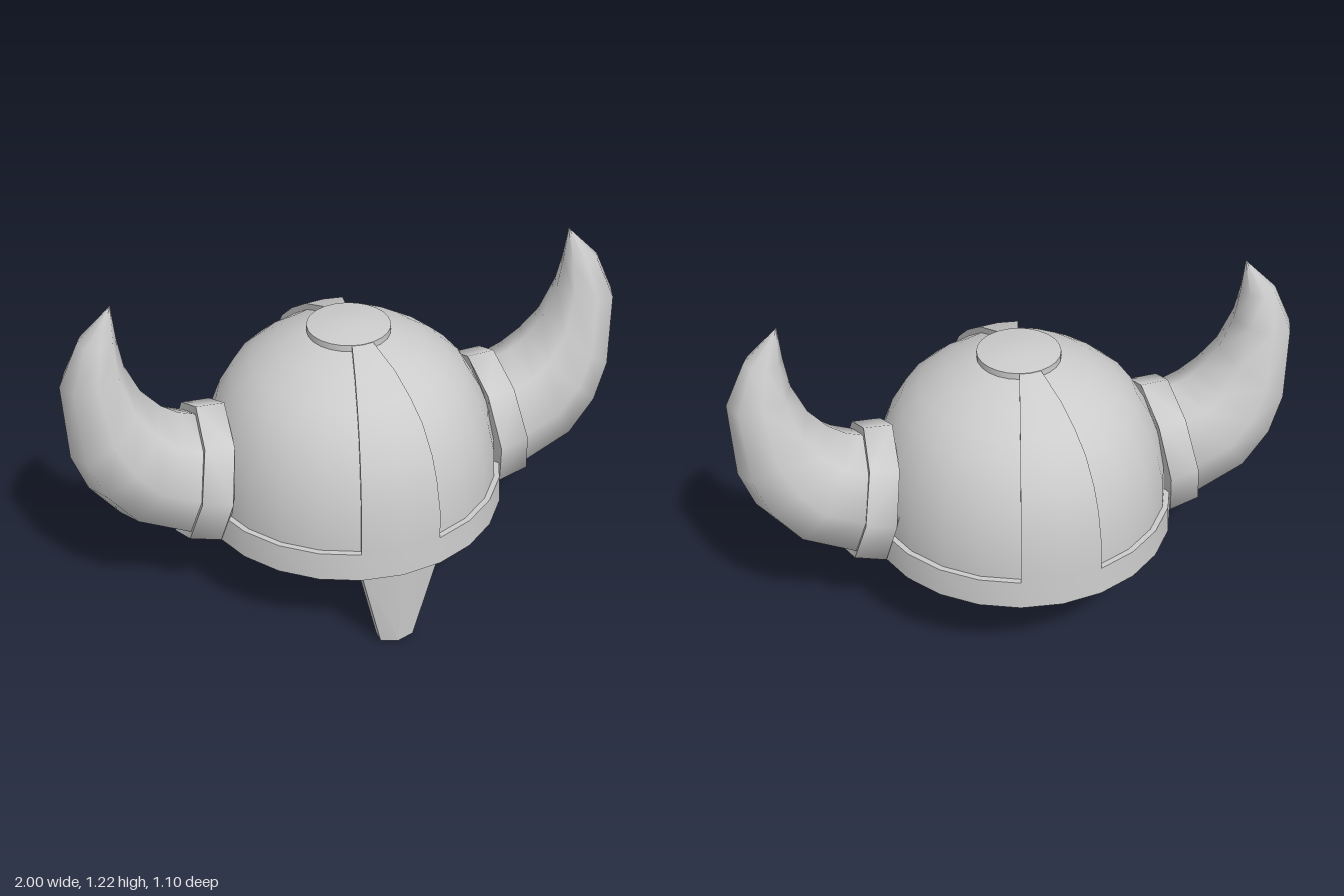
import * as THREE from 'three';
import { mergeGeometries, toCreasedNormals } from 'three/addons/utils/BufferGeometryUtils.js';

const material = new THREE.MeshStandardMaterial({ color: 0xcccccc });
const thin = new THREE.MeshStandardMaterial({ color: 0xcccccc, side: THREE.DoubleSide });
const SEGMENTS = 24;
const SIDES = 8;
const vectors = (points) => points.map(([x, y]) => new THREE.Vector2(x, y));

// Dome profiles as [radius, height], from the rim band up to the crown.
const panelProfile = [[0.525, 0.42], [0.52, 0.53], [0.495, 0.635], [0.465, 0.715],
  [0.41, 0.81], [0.345, 0.868], [0.26, 0.925], [0.14, 0.972]];
const crestProfile = [[0.545, 0.42], [0.54, 0.53], [0.517, 0.64], [0.487, 0.725],
  [0.43, 0.82], [0.36, 0.885], [0.27, 0.945], [0.14, 0.993]];
const innerProfile = [[0, 0.925], [0.13, 0.91], [0.25, 0.86], [0.36, 0.765],
  [0.43, 0.65], [0.465, 0.53], [0.48, 0.315]];

function lathe(points, crease = 0.6) {
  return toCreasedNormals(new THREE.LatheGeometry(vectors(points), SEGMENTS), crease);
}

// Each ring is [topX, topY, bottomX, bottomY, halfDepth], ordered outward along +x.
function loft(rings, side) {
  const positions = [], index = [];
  for (const [tx, ty, bx, by, depth] of rings) {
    for (let j = 0; j < SIDES; j++) {
      const a = (j / SIDES) * Math.PI * 2;
      const t = (1 + Math.cos(a)) / 2;
      positions.push(side * (bx + (tx - bx) * t), by + (ty - by) * t, depth * Math.sin(a));
    }
  }
  for (let i = 0; i < rings.length - 1; i++) {
    for (let j = 0; j < SIDES; j++) {
      const k = (j + 1) % SIDES;
      const a = i * SIDES + j, b = i * SIDES + k, c = a + SIDES, d = b + SIDES;
      if (side > 0) index.push(a, b, c, b, d, c);
      else index.push(a, c, b, b, c, d);
    }
  }
  const geometry = new THREE.BufferGeometry();
  geometry.setAttribute('position', new THREE.Float32BufferAttribute(positions, 3));
  geometry.setIndex(index);
  geometry.computeVertexNormals();
  return geometry;
}

// Raised strip over the dome, 30 degrees wide, with closed side walls.
function crestGeometry() {
  const half = Math.PI / 12;
  const parts = [new THREE.LatheGeometry(vectors(crestProfile), 2, -half, 2 * half)];
  const wall = new THREE.Shape(vectors([...crestProfile, ...[...panelProfile].reverse()]));
  for (const angle of [-half, half]) {
    parts.push(new THREE.ShapeGeometry(wall).rotateY(angle - Math.PI / 2));
  }
  return mergeGeometries(parts);
}

// Tapered nose plate, slightly bowed forward.
function noseGuardGeometry() {
  const section = (w, y, z) => [[0, y, z], [w, y, z - 0.02], [w, y, z - 0.067],
    [0, y, z - 0.05], [-w, y, z - 0.067], [-w, y, z - 0.02]];
  const positions = [...section(0.06, 0, 0.523), ...section(0.14, 0.335, 0.54)].flat();
  const index = [];
  for (let i = 0; i < 6; i++) {
    const j = (i + 1) % 6;
    index.push(i, j, i + 6, j, j + 6, i + 6);
  }
  // end faces, split along the centre line
  for (const [a, b, c, d] of [[0, 3, 2, 1], [0, 5, 4, 3]]) {
    index.push(a, b, c, a, c, d, a + 6, c + 6, b + 6, a + 6, d + 6, c + 6);
  }
  const geometry = new THREE.BufferGeometry();
  geometry.setAttribute('position', new THREE.Float32BufferAttribute(positions, 3));
  geometry.setIndex(index);
  return toCreasedNormals(geometry, 0.6);
}

const hornRings = [
  [0.55, 0.745, 0.635, 0.295, 0.2],
  [0.61, 0.765, 0.84, 0.4, 0.2],
  [0.67, 0.805, 0.94, 0.53, 0.185],
  [0.735, 0.88, 0.99, 0.67, 0.155],
  [0.783, 0.99, 1.0, 0.95, 0.11],
  [0.8, 1.1, 0.93, 1.1, 0.06],
  [0.81, 1.22, 0.81, 1.22, 0],
];

// Collar: closed inner end, outer wall, then a lip turned in to the horn.
const collarRings = [
  [0.48, 0.51, 0.48, 0.51, 0],
  [0.47, 0.72, 0.48, 0.305, 0.18],
  [0.45, 0.77, 0.54, 0.24, 0.23],
  [0.55, 0.775, 0.65, 0.272, 0.22],
  [0.555, 0.73, 0.635, 0.31, 0.19],
];

export function createModel() {
  const model = new THREE.Group();
  model.name = 'hornedHelmet';
  const add = (name, geometry, mat = material) => {
    const mesh = new THREE.Mesh(geometry, mat);
    mesh.name = name;
    model.add(mesh);
    return mesh;
  };

  // Hollow shell with its rim band
  add('domeShell', lathe([...innerProfile, [0.55, 0.315], [0.545, 0.42],
    ...panelProfile, [0, 0.985]]));

  // Front and back crests meeting at the crown disc
  add('frontCrest', crestGeometry(), thin);
  add('backCrest', crestGeometry(), thin).rotation.y = Math.PI;
  add('crownDisc', lathe([[0.145, 0.965], [0.145, 0.993], [0.07, 1.006], [0, 1.01]]));

  add('noseGuard', noseGuardGeometry());

  // Mirrored horns and collars
  for (const [label, side] of [['left', 1], ['right', -1]]) {
    add(`${label}HornCollar`, toCreasedNormals(loft(collarRings, side), 0.9));
    add(`${label}Horn`, loft(hornRings, side));
  }
  return model;
}
